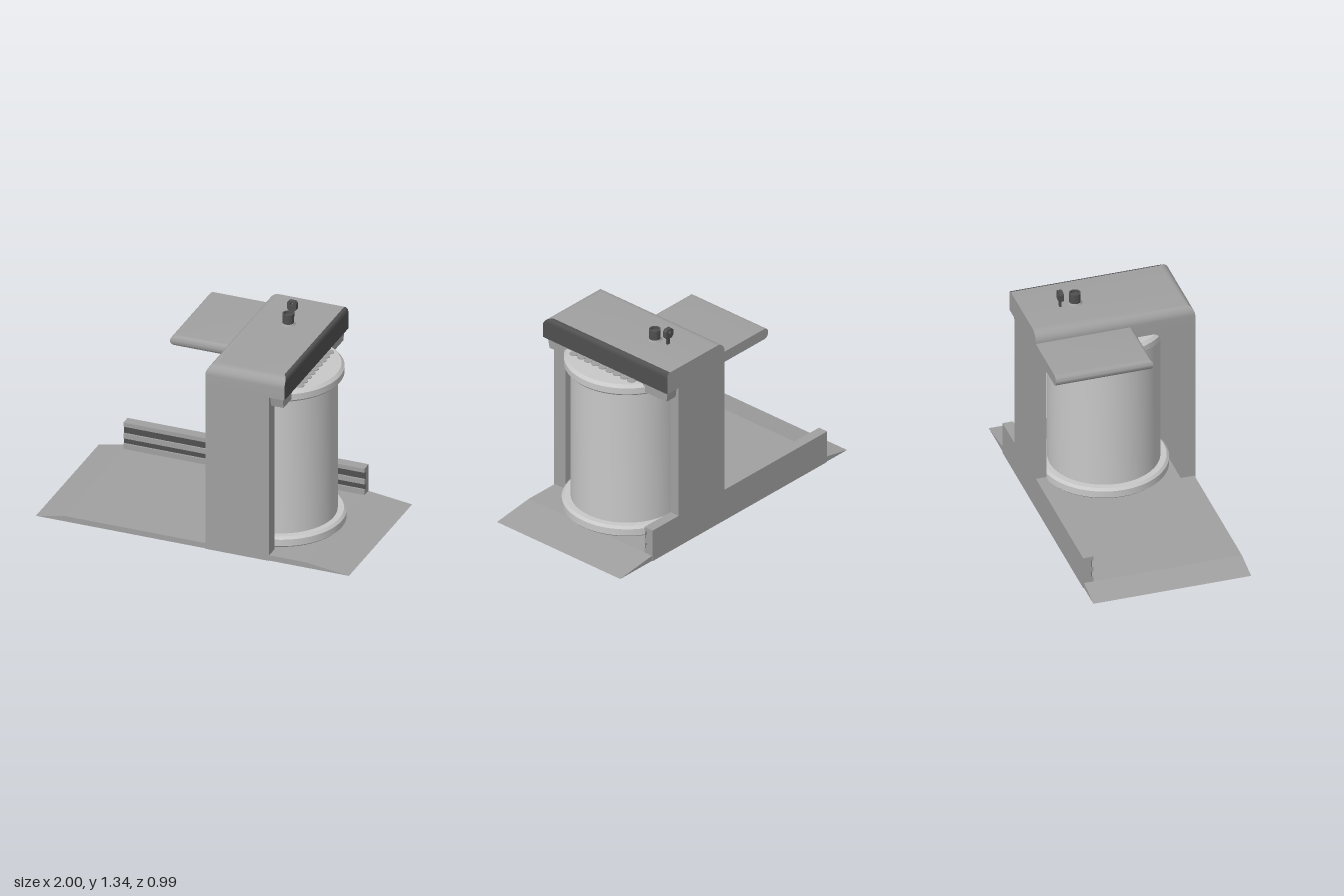
import * as THREE from 'three';
import { toCreasedNormals } from 'three/addons/utils/BufferGeometryUtils.js';

const mat = (name, color) => {
  const m = new THREE.MeshStandardMaterial({ color });
  m.name = name;
  return m;
};

// Stack of rectangles [y, x0, x1, z0, z1] from bottom to top.
// Group 0 is the body, group 1 the +x side.
function stackGeometry(levels) {
  const body = [], side = [];
  const quad = (out, a, b, c, d) => out.push(...a, ...b, ...c, ...a, ...c, ...d);
  const ring = ([y, x0, x1, z0, z1]) => [[x0, y, z1], [x1, y, z1], [x1, y, z0], [x0, y, z0]];
  const rings = levels.map(ring);
  for (let i = 0; i < rings.length - 1; i++) {
    const a = rings[i], b = rings[i + 1];
    for (let k = 0; k < 4; k++) {
      const n = (k + 1) % 4;
      quad(k === 1 ? side : body, a[k], a[n], b[n], b[k]);
    }
  }
  const [p, q, r, s] = rings[0];
  quad(body, s, r, q, p);
  quad(body, ...rings[rings.length - 1]);
  const g = new THREE.BufferGeometry();
  g.setAttribute('position', new THREE.Float32BufferAttribute([...body, ...side], 3));
  g.addGroup(0, body.length / 3, 0);
  g.addGroup(body.length / 3, side.length / 3, 1);
  return toCreasedNormals(g, 0.6);
}

// Inset of a rounded top edge of radius r at height y below the top
const inset = (y, top, r) => {
  const h = Math.max(0, y - (top - r));
  return r - Math.sqrt(Math.max(0, r * r - h * h));
};

export function createModel() {
  const group = new THREE.Group();
  const grey = mat('body grey', 0xa0a0a0);
  const light = mat('light drum grey', 0xc8c8c8);
  const dark = mat('dark trim', 0x505050);
  const add = (name, geometry, material, x = 0, y = 0, z = 0) => {
    const m = new THREE.Mesh(geometry, material);
    m.name = name;
    m.position.set(x, y, z);
    group.add(m);
    return m;
  };
  const box = (name, material, x0, x1, y0, y1, z0, z1) =>
    add(name, new THREE.BoxGeometry(x1 - x0, y1 - y0, z1 - z0), material,
      (x0 + x1) / 2, (y0 + y1) / 2, (z0 + z1) / 2);
  const lathe = (name, pts, material, x, y, z, seg = 64) =>
    add(name, toCreasedNormals(new THREE.LatheGeometry(
      pts.map(p => new THREE.Vector2(...p)), seg), 0.4), material, x, y, z);

  // Base plate with a ramp at each end
  const baseShape = new THREE.Shape([[-1, 0], [1, 0], [0.72, 0.035], [-0.82, 0.035]]
    .map(p => new THREE.Vector2(...p)));
  add('base', new THREE.ExtrudeGeometry(baseShape, { depth: 0.98, bevelEnabled: false }),
    grey, 0, 0, -0.49);

  // Upright walls
  box('frontWall', grey, 0.085, 0.49, 0, 1.1, 0.405, 0.495);
  box('backWall', grey, 0.085, 0.49, 0, 1.1, -0.495, -0.43);

  // Hood with rounded front, left and right top edges and a dark side
  const hoodLevels = [[1.09, 0.085, 0.59, -0.495, 0.495]];
  for (let i = 0; i <= 10; i++) {
    const y = 1.165 + 0.065 * Math.sin(i / 10 * Math.PI / 2);
    const d = inset(y, 1.23, 0.065);
    hoodLevels.push([y, 0.085 + d, 0.59 - inset(y, 1.23, 0.025), -0.495, 0.495 - d]);
  }
  add('hood', stackGeometry(hoodLevels), [grey, dark]);

  // Tapered block holding the drum lid
  add('lidHolder', stackGeometry([
    [1.02, 0.1, 0.57, -0.47, 0.46], [1.092, 0.1, 0.57, -0.48, 0.475]]), [grey, grey]);

  // Side shelf with rounded outer and front edges
  const shelfLevels = [];
  for (let i = 0; i <= 16; i++) {
    const a = (i / 16 - 0.5) * Math.PI;
    const d = 0.035 * (1 - Math.cos(a));
    shelfLevels.push([1.125 + 0.035 * Math.sin(a), -0.3 + d, 0.1, -0.495, 0.11 - d * 0.7]);
  }
  add('shelf', stackGeometry(shelfLevels), [grey, grey]);

  // Grooved rail along the back, drawn as (depth, height) and extruded along x
  const railShape = new THREE.Shape([
    [0.495, 0], [0.495, 0.21], [0.43, 0.21], [0.43, 0.183], [0.443, 0.183], [0.443, 0.138],
    [0.43, 0.138], [0.43, 0.105], [0.443, 0.105], [0.443, 0.07], [0.43, 0.07], [0.43, 0],
  ].map(p => new THREE.Vector2(...p)));
  const rail = add('rail', new THREE.ExtrudeGeometry(railShape,
    { depth: 1.54, bevelEnabled: false }), grey, -0.82, 0, 0);
  rail.rotation.y = Math.PI / 2;
  for (const [y0, y1] of [[0.07, 0.105], [0.138, 0.183]])
    box('railGroove', dark, -0.82, 0.72, y0, y1, -0.445, -0.44);

  // Drum with bevelled foot and lid
  const [dx, dz] = [0.373, 0.02];
  lathe('drumBody', [[0.335, 0.08], [0.335, 1.02]], light, dx, 0, dz);
  lathe('drumFoot', [[0, 0.036], [0.375, 0.036], [0.387, 0.047], [0.387, 0.09],
    [0.372, 0.105], [0.335, 0.105]], light, dx, 0, dz);
  lathe('drumLid', [[0.335, 1], [0.365, 1], [0.375, 1.012], [0.375, 1.052],
    [0.357, 1.07], [0, 1.07]], light, dx, 0, dz);

  // Row of small discs on the lid
  for (let i = -4; i <= 4; i++)
    add('lidDisc', new THREE.CylinderGeometry(0.026, 0.026, 0.006, 20), grey,
      0.588, 1.072, dz + i * 0.057);

  // Knob with a flared collar
  lathe('knobCollar', [[0.046, 1.229], [0.037, 1.24], [0, 1.24]], grey, 0.34, 0, -0.17, 32);
  lathe('knob', [[0.035, 1.235], [0.035, 1.3], [0.026, 1.3], [0.026, 1.285], [0, 1.285]],
    dark, 0.34, 0, -0.17, 32);

  // Key with a pierced head
  const head = new THREE.Shape([[-0.03, 0.012], [-0.018, 0], [0.018, 0], [0.03, 0.012],
    [0.03, 0.05], [0.018, 0.062], [-0.018, 0.062], [-0.03, 0.05]]
    .map(p => new THREE.Vector2(...p)));
  head.holes.push(new THREE.Path().absarc(0, 0.043, 0.011, 0, Math.PI * 2, true));
  add('keyHead', new THREE.ExtrudeGeometry(head, { depth: 0.028, bevelEnabled: false }),
    dark, 0.328, 1.273, -0.279);
  box('keyShaft', dark, 0.318, 0.338, 1.225, 1.28, -0.271, -0.259);

  return group;
}
